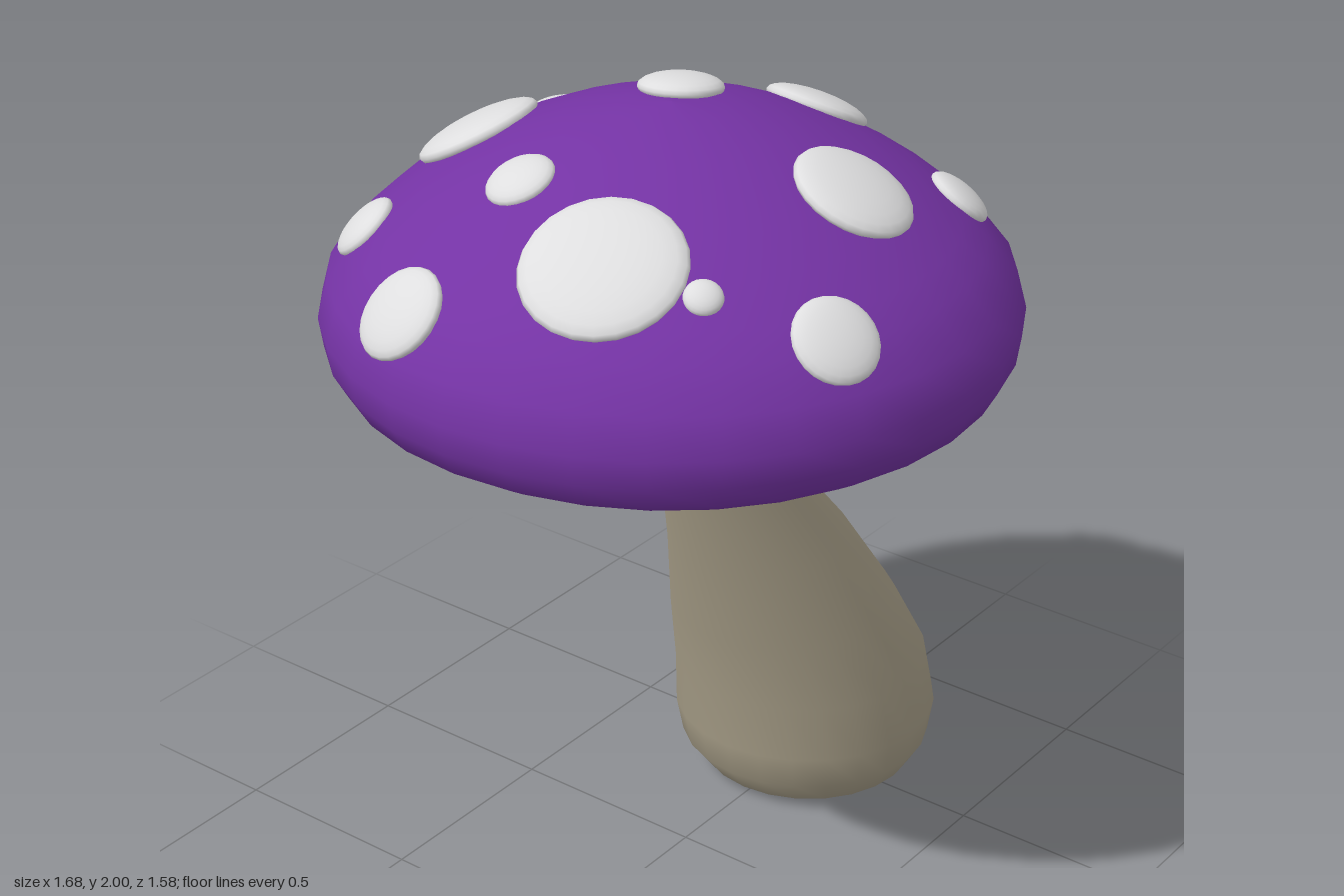
import * as THREE from 'three';
import { mergeVertices } from 'three/addons/utils/BufferGeometryUtils.js';

const CAP_X = -0.05;

// Cap outer profile [radius, y], from the rim up to the crown
const OUTER = [
  [0.7, 1.34], [0.75, 1.372], [0.782, 1.43], [0.792, 1.5], [0.768, 1.59], [0.7, 1.668],
  [0.645, 1.717], [0.55, 1.785], [0.45, 1.84], [0.35, 1.887], [0.25, 1.925], [0.12, 1.96], [0, 1.97],
];
// Hollow underside, from the middle out to the rim
const INNER = [[0, 1.6], [0.2, 1.585], [0.38, 1.535], [0.52, 1.455], [0.6, 1.375], [0.65, 1.342]];

// Stem rings: [y, centre x, radius]
const STEM = [
  [0, 0.52, 0.24], [0.02, 0.52, 0.275], [0.09, 0.51, 0.318], [0.18, 0.507, 0.333], [0.33, 0.482, 0.32],
  [0.52, 0.403, 0.284], [0.75, 0.295, 0.225], [0.95, 0.18, 0.168], [1.15, 0.087, 0.12],
  [1.34, 0.02, 0.088], [1.62, -0.04, 0.065],
];

// Spots: [x, z, radius]
const SPOTS = [
  [-0.485, -0.52, 0.082], [-0.16, -0.465, 0.148], [0.22, -0.565, 0.077], [0.51, -0.315, 0.128],
  [-0.73, -0.195, 0.11], [-0.41, -0.13, 0.08], [0.055, -0.055, 0.098], [0.395, 0.075, 0.122],
  [-0.535, 0.195, 0.182], [-0.465, 0.4, 0.043], [0.02, 0.435, 0.142], [0.39, 0.47, 0.079],
  [-0.32, 0.63, 0.1],
];

// Height of the cap's upper surface at a given radius
function capHeight(r) {
  for (let i = 4; i < OUTER.length - 1; i++) {
    const [r0, y0] = OUTER[i], [r1, y1] = OUTER[i + 1];
    if (r >= r1) return THREE.MathUtils.mapLinear(r, r0, r1, y0, y1);
  }
  return 1.97;
}

function mesh(name, geometry, material) {
  const m = new THREE.Mesh(geometry, material);
  m.name = name;
  return m;
}

export function createModel() {
  const make = (name, color) => Object.assign(new THREE.MeshStandardMaterial({ color }), { name });
  const purple = make('purple cap', 0x7433a4);
  const white = make('spot white', 0xdededf);
  const tan = make('stem tan', 0xa59c86);

  const group = new THREE.Group();
  group.name = 'mushroom';

  // Domed cap with a hollow underside
  const profile = [...INNER, ...OUTER].map(([r, y]) => new THREE.Vector2(r, y));
  const cap = mesh('cap', new THREE.LatheGeometry(profile, 32), purple);
  cap.position.x = CAP_X;
  group.add(cap);

  // Leaning stem: a turned shape whose rings slide sideways with height
  let body = new THREE.LatheGeometry(STEM.map(([y, , r]) => new THREE.Vector2(r, y)), 24);
  const pos = body.attributes.position;
  for (let i = 0; i < pos.count; i++) pos.setX(i, pos.getX(i) + STEM[i % STEM.length][1]);
  body.deleteAttribute('uv');
  body.deleteAttribute('normal');
  body = mergeVertices(body);
  body.computeVertexNormals();
  group.add(mesh('stem', body, tan));

  // Flat foot of the stem
  const foot = mesh('stemFoot', new THREE.CircleGeometry(STEM[0][2], 24), tan);
  foot.rotation.x = Math.PI / 2;
  foot.position.x = STEM[0][1];
  group.add(foot);

  // Flattened spots lying on the cap surface
  const spots = new THREE.Group();
  spots.name = 'spots';
  const dome = new THREE.SphereGeometry(1, 24, 12);
  const up = new THREE.Vector3(0, 1, 0);
  for (const [x, z, radius] of SPOTS) {
    const dx = x - CAP_X, r = Math.hypot(dx, z), e = 0.05;
    const slope = (capHeight(r - e) - capHeight(r + e)) / (2 * e);
    const normal = new THREE.Vector3(dx / r * slope, 1, z / r * slope).normalize();
    const spot = mesh('spot', dome, white);
    spot.position.set(x, capHeight(r), z);
    spot.quaternion.setFromUnitVectors(up, normal);
    spot.scale.set(radius, 0.018 + radius * 0.14, radius);
    spots.add(spot);
  }
  group.add(spots);
  return group;
}
